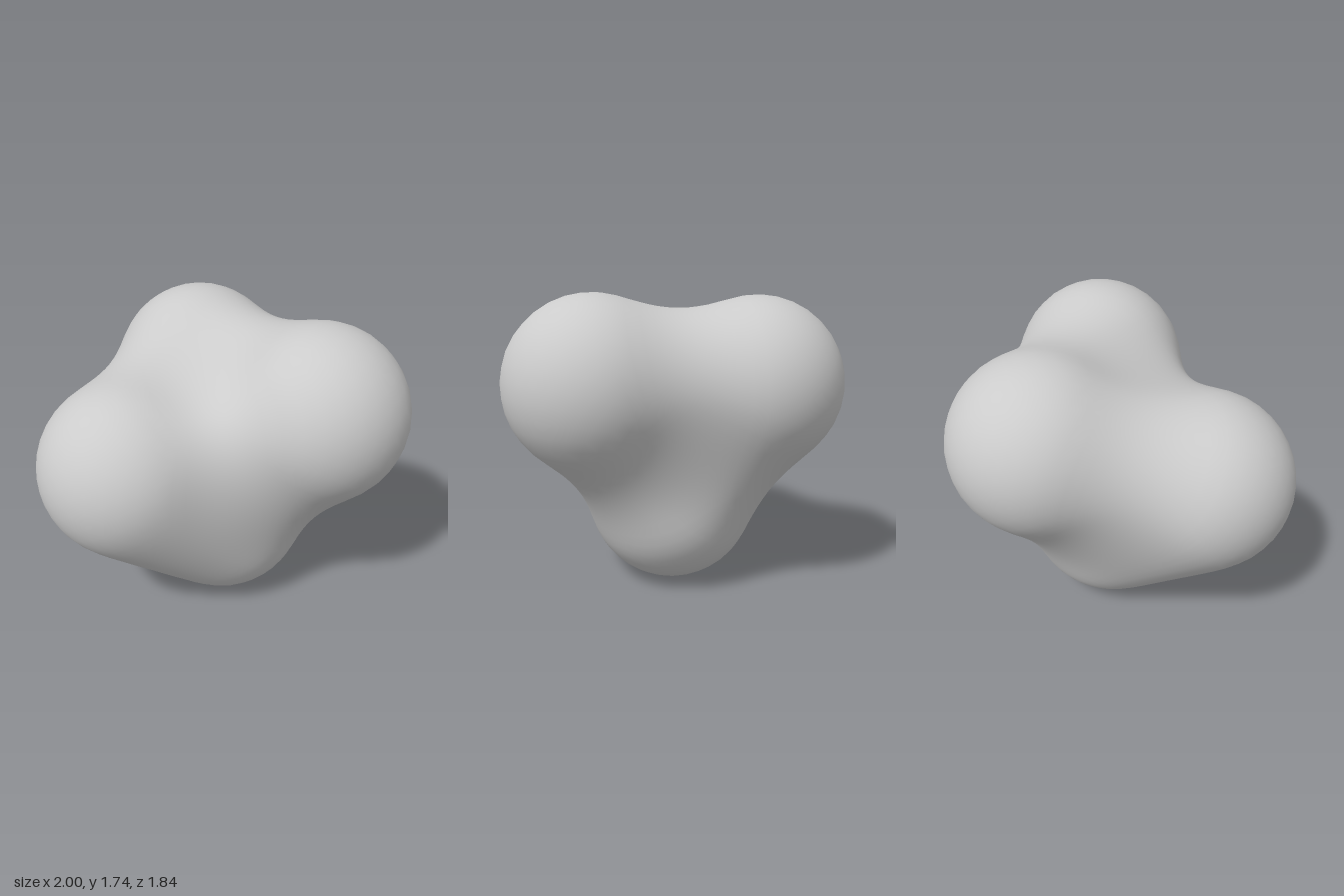
import * as THREE from 'three';

// Four soft lobes that melt into one another
const lobes = [
  new THREE.Vector3(0.5, 1.24, 0.14),    // left
  new THREE.Vector3(-0.5, 0.975, 0.42),  // right front
  new THREE.Vector3(-0.25, 1.22, -0.42), // back
  new THREE.Vector3(-0.05, 0.5, 0.05),   // bottom
];
const REACH = 0.98;   // distance at which a lobe's pull fades to zero
const RADIUS = 0.5;   // radius of a lobe on its own
const LEVEL = (1 - (RADIUS / REACH) ** 2) ** 3; // field strength at the skin
const core = new THREE.Vector3(-0.07, 0.96, 0.05);

// Summed pull of all lobes at p; optionally gathers the outward normal
function field(p, normal) {
  let sum = 0;
  const d = new THREE.Vector3();
  for (const c of lobes) {
    d.subVectors(p, c);
    const k = 1 - d.lengthSq() / (REACH * REACH);
    if (k <= 0) continue;
    sum += k ** 3;
    if (normal) normal.addScaledVector(d, k * k);
  }
  return sum;
}

// Distance from the core to the skin along a direction
function skinDistance(dir) {
  const p = new THREE.Vector3();
  const inside = (t) => field(p.copy(core).addScaledVector(dir, t)) > LEVEL;
  let outer = 1.6;
  while (outer > 0.02 && !inside(outer - 0.02)) outer -= 0.02;
  let inner = outer - 0.02;
  for (let i = 0; i < 14; i++) {
    const mid = (inner + outer) / 2;
    if (inside(mid)) inner = mid; else outer = mid;
  }
  return (inner + outer) / 2;
}

export function createModel() {
  // Push a round ball out to the skin of the merged lobes
  const geometry = new THREE.IcosahedronGeometry(1, 13);
  const pos = geometry.attributes.position;
  const nor = geometry.attributes.normal;
  const dir = new THREE.Vector3();
  const p = new THREE.Vector3();
  const n = new THREE.Vector3();
  for (let i = 0; i < pos.count; i++) {
    dir.fromBufferAttribute(pos, i).normalize();
    p.copy(core).addScaledVector(dir, skinDistance(dir));
    pos.setXYZ(i, p.x, p.y, p.z);
    field(p, n.set(0, 0, 0));
    n.normalize();
    nor.setXYZ(i, n.x, n.y, n.z);
  }

  const blob = new THREE.Mesh(geometry, new THREE.MeshStandardMaterial({ color: 0xcccccc }));
  blob.name = 'blob';
  const group = new THREE.Group();
  group.name = 'fourLobedBlob';
  group.add(blob);
  return group;
}
